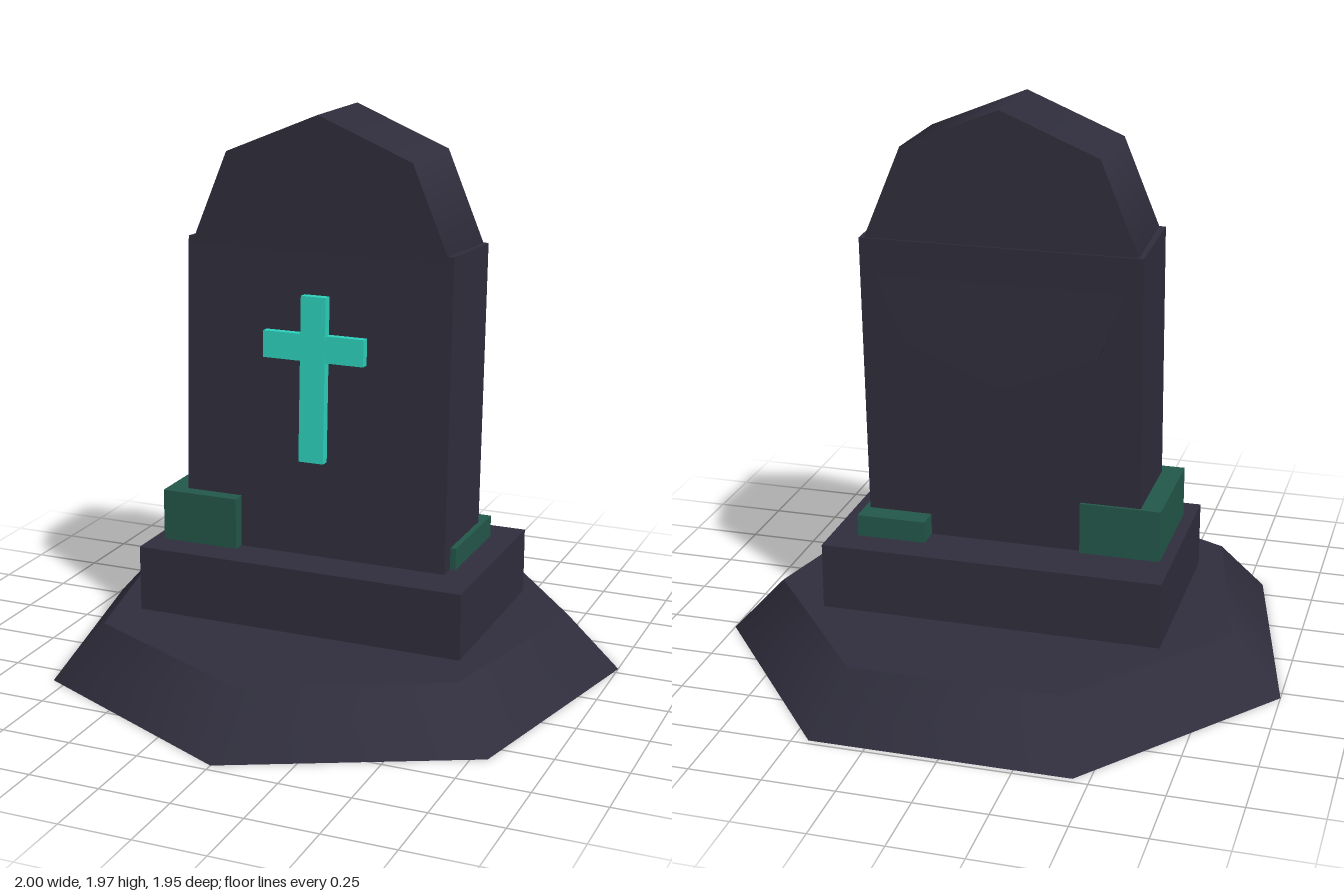
import * as THREE from 'three';

export function createModel() {
  const model = new THREE.Group();
  model.name = 'gravestone';

  const material = (name, color) => {
    const m = new THREE.MeshStandardMaterial({ color });
    m.name = name;
    return m;
  };
  const stone = material('dark stone', 0x302e3d);
  const moss = material('moss green', 0x24594b);
  const teal = material('glowing teal', 0x2dd4bf);

  const add = (parent, name, geometry, mat, x, y, z) => {
    const mesh = new THREE.Mesh(geometry, mat);
    mesh.name = name;
    mesh.position.set(x, y, z);
    parent.add(mesh);
    return mesh;
  };
  // Box given by its lowest and highest corners
  const addBox = (parent, name, mat, [x0, y0, z0], [x1, y1, z1]) =>
    add(parent, name, new THREE.BoxGeometry(x1 - x0, y1 - y0, z1 - z0), mat,
      (x0 + x1) / 2, (y0 + y1) / 2, (z0 + z1) / 2);

  // Seven-sided mound and the plinth on it
  add(model, 'mound', new THREE.CylinderGeometry(0.841, 1.026, 0.195, 7), stone, 0, 0.0975, -0.056);
  addBox(model, 'plinth', stone, [-0.602, 0.15, -0.408], [0.602, 0.43, 0.296]);

  // Slab and cross lean back together
  const leaning = new THREE.Group();
  leaning.name = 'leaningHeadstone';
  leaning.position.set(0, 0.43, -0.036);
  leaning.rotation.x = -0.0455;
  model.add(leaning);
  addBox(leaning, 'slab', stone, [-0.488, -0.05, -0.177], [0.488, 1.087, 0.177]);
  addBox(leaning, 'crossUpright', teal, [-0.046, 0.336, 0.165], [0.046, 0.918, 0.211]);
  for (const side of [-1, 1]) {
    const inner = side * 0.046, outer = side * 0.186;
    addBox(leaning, side > 0 ? 'crossArmLeft' : 'crossArmRight', teal,
      [Math.min(inner, outer), 0.692, 0.165], [Math.max(inner, outer), 0.786, 0.209]);
  }

  // Eight-sided rounded top stands upright, so its lower half shows at the back
  const cap = new THREE.CylinderGeometry(0.48, 0.48, 0.349, 8);
  cap.rotateX(Math.PI / 2);
  add(model, 'roundedTop', cap, stone, 0, 1.487, -0.082);

  // Moss blocks wrapped around the foot of the slab
  addBox(model, 'mossRight', moss, [-0.56, 0.42, -0.232], [-0.277, 0.614, 0.184]);
  addBox(model, 'mossLeft', moss, [0.262, 0.42, -0.296], [0.508, 0.507, 0.082]);

  return model;
}
